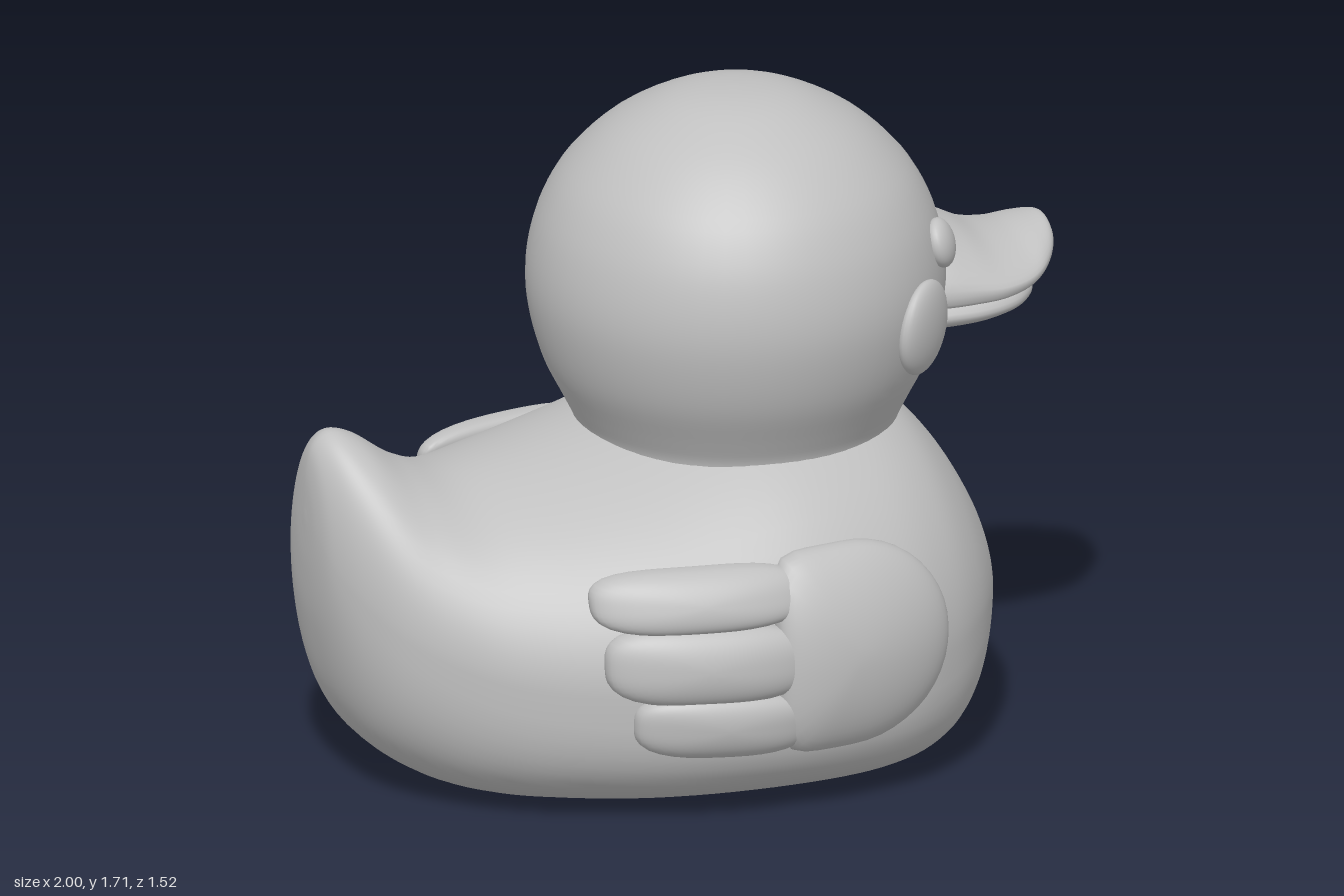
import * as THREE from 'three';
import { mergeVertices } from 'three/addons/utils/BufferGeometryUtils.js';

const spow = (v, p) => Math.sign(v) * Math.pow(Math.abs(v), p);

// weld the seams and give smooth normals
function smooth(geo) {
  geo.deleteAttribute('uv');
  geo.deleteAttribute('normal');
  const g = mergeVertices(geo, 1e-5);
  g.computeVertexNormals();
  return g;
}

// mirrored copy across z = 0 with corrected winding
function mirrorZ(geo) {
  const g = geo.clone().scale(1, 1, -1);
  const ix = g.index.array;
  for (let i = 0; i < ix.length; i += 3) [ix[i], ix[i + 1]] = [ix[i + 1], ix[i]];
  g.computeVertexNormals();
  return g;
}

// skin over cross-sections along x; station: [x, bottom, top, halfWidth, middleY, drop of the sides]
function loft(stations, upperN, lowerN, steps, sides) {
  const a = new THREE.CatmullRomCurve3(stations.map(s => new THREE.Vector3(s[0], s[1], s[2])), false, 'catmullrom');
  const b = new THREE.CatmullRomCurve3(stations.map(s => new THREE.Vector3(s[3], s[4], s[5] || 0)), false, 'catmullrom');
  const pos = [], idx = [];
  for (let i = 0; i <= steps; i++) {
    const { x, y: bottom, z: top } = a.getPoint(i / steps);
    const { x: w, y: mid, z: drop } = b.getPoint(i / steps);
    for (let j = 0; j < sides; j++) {
      const ang = j / sides * Math.PI * 2, c = Math.cos(ang), s = Math.sin(ang);
      const p = 2 / (s > 0 ? upperN(w) : lowerN(w));
      const side = spow(c, p);
      const y = mid + (s > 0 ? top - mid : mid - bottom) * spow(s, p) - drop * side * side;
      pos.push(x, Math.max(0, y), w * side);
      if (i < steps) {
        const k = (j + 1) % sides, r = i * sides, q = r + sides;
        idx.push(r + j, q + j, r + k, q + j, q + k, r + k);
      }
    }
  }
  const g = new THREE.BufferGeometry();
  g.setAttribute('position', new THREE.Float32BufferAttribute(pos, 3));
  g.setIndex(idx);
  return smooth(g);
}

// soft pad lying on the curved wing surface; nBack and nFront set how square each end is
function pad(xBack, xMid, xFront, yLow, yHigh, nBack, nFront, thick, slope = 0) {
  const g = new THREE.SphereGeometry(1, 44, 28).rotateX(Math.PI / 2);
  const p = g.attributes.position;
  for (let i = 0; i < p.count; i++) {
    const u = p.getX(i), v = p.getY(i), r = Math.hypot(u, v) || 1e-9;
    const n = u < 0 ? nBack : nFront;
    const s = 1 / Math.pow(Math.abs(u / r) ** n + Math.abs(v / r) ** n, 1 / n);
    const x = xMid + u * s * (u < 0 ? xMid - xBack : xFront - xMid);
    const y = (yLow + yHigh) / 2 + v * s * (yHigh - yLow) / 2 + slope * (x - xMid);
    const base = 0.695 - 0.42 * (x - 0.02) ** 2 - (y > 0.4 ? 0.9 : 0.5) * (y - 0.4) ** 2;
    p.setXYZ(i, x, y, base + thick * spow(p.getZ(i), 0.7));
  }
  return smooth(g);
}

export function createModel() {
  const model = new THREE.Group();
  const grey = new THREE.MeshStandardMaterial({ color: 0xc0c0c0 });
  grey.name = 'plain grey';
  const add = (name, geo) => {
    const m = new THREE.Mesh(geo, grey);
    m.name = name;
    model.add(m);
    return m;
  };

  // body with flat base and raised tail
  add('body', loft([
    [-0.998, 0.72, 0.72, 0, 0.72],
    [-0.993, 0.58, 0.84, 0.07, 0.69],
    [-0.975, 0.43, 0.91, 0.145, 0.62],
    [-0.93, 0.25, 0.942, 0.235, 0.55],
    [-0.86, 0.13, 0.92, 0.325, 0.48],
    [-0.75, 0.05, 0.845, 0.415, 0.42],
    [-0.62, 0.008, 0.8, 0.5, 0.38],
    [-0.45, -0.01, 0.815, 0.585, 0.36],
    [-0.2, -0.02, 0.865, 0.665, 0.35],
    [0.1, -0.02, 0.95, 0.7, 0.35],
    [0.35, -0.018, 0.94, 0.67, 0.35],
    [0.52, 0, 0.88, 0.585, 0.36],
    [0.64, 0.055, 0.765, 0.465, 0.38],
    [0.73, 0.16, 0.63, 0.31, 0.39],
    [0.773, 0.26, 0.53, 0.18, 0.4],
    [0.788, 0.4, 0.4, 0, 0.4],
  ], w => 1.6 + 0.57 * w, w => 2 + 1.8 * w, 90, 64));

  // round head narrowing to the neck
  const profile = new THREE.SplineCurve([
    [0.4, 0.78], [0.405, 0.84], [0.432, 0.9], [0.482, 1.0], [0.512, 1.1], [0.525, 1.2], [0.516, 1.3],
    [0.486, 1.4], [0.428, 1.5], [0.325, 1.6], [0.2, 1.67], [0.1, 1.698], [0, 1.705],
  ].map(p => new THREE.Vector2(...p))).getPoints(48);
  profile[profile.length - 1].x = 0;
  add('head', smooth(new THREE.LatheGeometry(profile, 56))).position.x = 0.165;

  // bill: x, bottom, top, half width, middle, side drop
  add('upperBill', loft([
    [0.56, 1.14, 1.33, 0.23, 1.22, 0.07],
    [0.64, 1.14, 1.325, 0.245, 1.22, 0.07],
    [0.72, 1.14, 1.29, 0.25, 1.215, 0.065],
    [0.8, 1.142, 1.25, 0.245, 1.205, 0.055],
    [0.88, 1.152, 1.238, 0.215, 1.2, 0.042],
    [0.94, 1.172, 1.25, 0.165, 1.21, 0.03],
    [0.985, 1.195, 1.255, 0.09, 1.225, 0.015],
    [1.0, 1.23, 1.23, 0, 1.23, 0],
  ], () => 2, () => 2.6, 40, 40));
  add('lowerBill', loft([
    [0.56, 1.025, 1.155, 0.2, 1.095, 0.012],
    [0.66, 1.03, 1.155, 0.215, 1.095, 0.012],
    [0.76, 1.035, 1.15, 0.21, 1.095, 0.012],
    [0.85, 1.045, 1.145, 0.175, 1.095, 0.01],
    [0.91, 1.055, 1.135, 0.12, 1.095, 0.005],
    [0.938, 1.07, 1.12, 0.065, 1.095, 0],
    [0.947, 1.095, 1.095, 0, 1.095, 0],
  ], () => 2, () => 2, 36, 36));

  // wings: one large pad and three feathers
  const wing = {
    WingPad: pad(-0.005, 0.2, 0.485, 0.175, 0.69, 6, 2.1, 0.075),
    UpperFeather: pad(-0.46, -0.2, 0.08, 0.525, 0.677, 3.2, 3, 0.06),
    MiddleFeather: pad(-0.435, -0.2, 0.08, 0.34, 0.54, 3.2, 3, 0.062, -0.03),
    LowerFeather: pad(-0.365, -0.15, 0.08, 0.192, 0.36, 3.2, 3, 0.06, -0.05),
  };
  for (const [name, geo] of Object.entries(wing)) {
    add('left' + name, geo);
    add('right' + name, mirrorZ(geo));
  }

  // eyes and cheeks: flattened buttons facing outward from the head
  for (const s of [1, -1]) {
    const side = s > 0 ? 'left' : 'right';
    const button = (name, x, y, z, rw, rh, depth) => {
      const m = add(side + name, new THREE.SphereGeometry(1, 28, 20));
      m.scale.set(rw, rh, depth);
      m.position.set(x, y, z * s);
      m.rotation.order = 'YXZ';
      m.rotation.set(-Math.asin((y - 1.19) / 0.53), Math.atan2(x - 0.165, z * s), 0);
    };
    button('Eye', 0.603, 1.318, 0.278, 0.06, 0.064, 0.035);
    button('Cheek', 0.508, 1.145, 0.392, 0.112, 0.124, 0.04);
  }
  return model;
}
